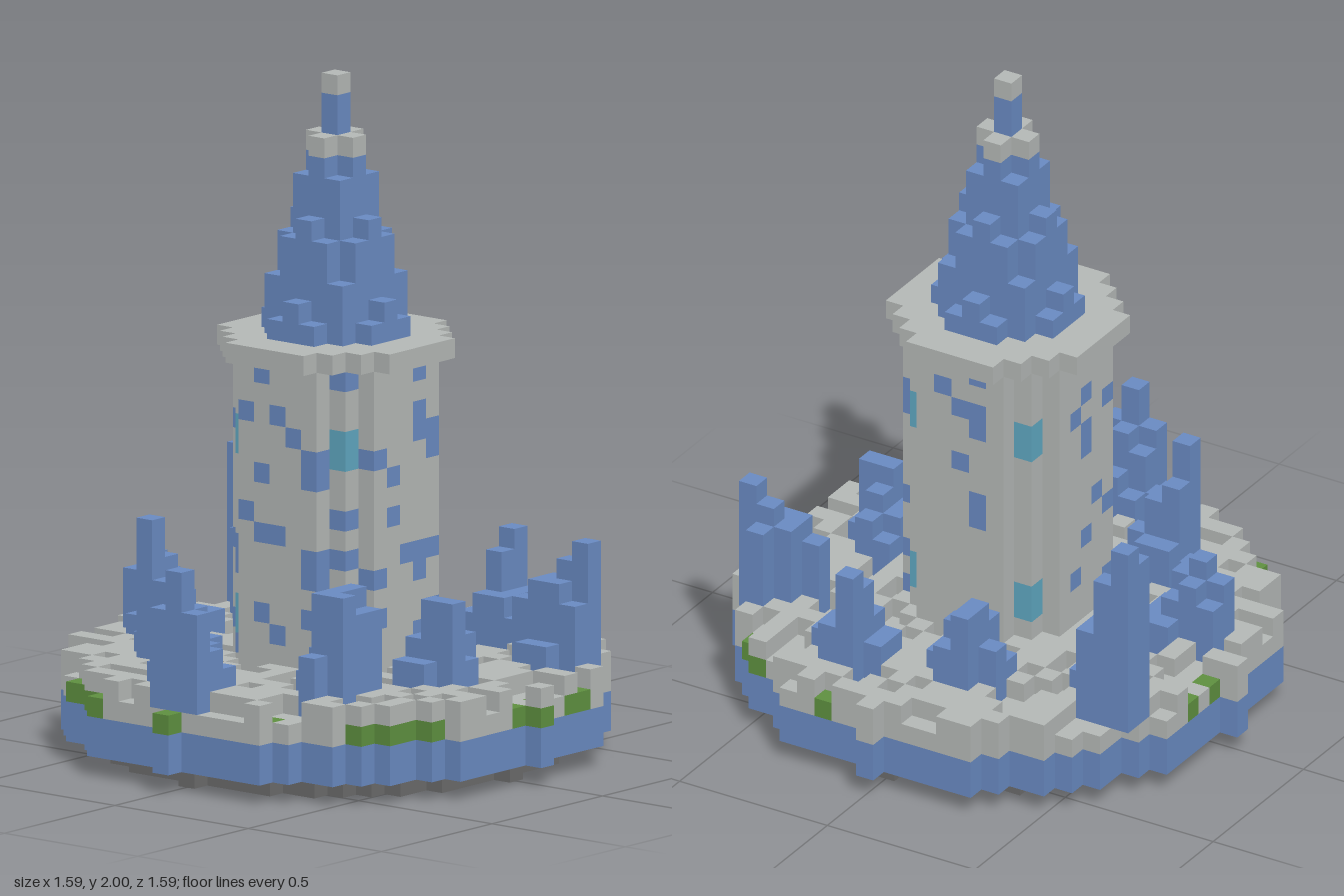
import * as THREE from 'three';
import { mergeGeometries } from 'three/addons/utils/BufferGeometryUtils.js';

const U = 2 / 34; // block edge

const mat = (name, color) => {
  const m = new THREE.MeshStandardMaterial({ color });
  m.name = name;
  return m;
};

// Repeatable noise in 0..1 for a block position
const noise = (x, y, z) => {
  const s = Math.sin(x * 127.1 + y * 269.5 + z * 311.7 + 17.3) * 43758.5453;
  return s - Math.floor(s);
};

// Crystal clusters: first column x, first row z, then rows of top layers in base 36
const CLUSTERS = [
  [-11, -7, 'ec9.', 'db96', '.976', '..6.'],
  [-4, -9, '.97.', '7986', '6876', '..66'],
  [2, -10, '.a7.', '6976', '6776'],
  [8, -7, '..9.', '.9ab', '8998', '.66.'],
  [7, 0, '67.', '786', '799', '66.'],
  [-11, 0, '..66', '7876', '8986', '.66.'],
  [-7, 5, '.776', '6a97', '.c96'],
  [5, 6, '7a9', '7a9', '6aa', '.7.'],
  [-2, 10, '.676', '6897', '.9b9'],
];

// Moss on the terrace: bare blocks show their tops, covered ones only their sides
const MOSS_BARE = ['3,-12', '-6,-10', '9,-9', '12,-4', '12,-1', '12,1', '-12,-3', '-12,-1', '-12,1',
  '11,5', '9,8', '5,11', '0,13', '-5,12', '-8,10'];
const MOSS_COVERED = ['13,0', '9,9', '10,8', '10,7', '11,6', '-7,10', '-6,11', '12,-3', '8,-10'];

// Crystal flecks on the tower: [offset along the face, layer]
const FRONT_FLECKS = [[-1, 19], [-2, 17], [0, 17], [1, 16], [2, 15], [2, 14], [-1, 14], [-2, 12], [-1, 11],
  [0, 11], [2, 10], [2, 9], [2, 7], [-1, 7], [0, 6]];
const RIGHT_FLECKS = [[-1, 19], [-1, 17], [-1, 16], [-2, 16], [2, 15], [-2, 15], [1, 14], [1, 12], [0, 10],
  [-1, 10], [-1, 9], [2, 9], [-2, 10], [2, 7], [-2, 7], [-1, 6], [-2, 5]];

export function createModel() {
  const stone = mat('stone', 0xb5b9b7);
  const crystal = mat('crystal blue', 0x6a8bc3);
  const bedrock = mat('dark rock', 0x6c6c6c);
  const moss = mat('moss green', 0x5f9140);
  const glass = mat('window teal', 0x60a8c2);

  const blocks = new Map(); // "x,y,z" -> { part, material }
  const put = (x, y, z, part, material) => blocks.set(`${x},${y},${z}`, { x, y, z, part, material });
  const disc = (r, y, fn) => {
    const n = Math.floor(r);
    for (let x = -n; x <= n; x++)
      for (let z = -n; z <= n; z++) if (x * x + z * z <= r * r) fn(x, y, z);
  };

  // Round island: rock foot, blue band, terrace
  disc(11, 0, (x, y, z) => put(x, y, z, 'islandFoot', bedrock));
  for (const l of [1, 2]) disc(13, l, (x, y, z) => put(x, y, z, 'islandBand', crystal));
  disc(13, 3, (x, y, z) => put(x, y, z, 'terrace', stone));
  for (const key of [...MOSS_BARE, ...MOSS_COVERED]) {
    const [x, z] = key.split(',').map(Number);
    put(x, 3, z, 'moss', moss);
  }

  // Broken paving on the terrace
  disc(13, 4, (x, y, z) => {
    const key = `${x},${z}`;
    const forced = MOSS_COVERED.includes(key) || key === '-13,0' || key === '0,-13';
    if (forced || (!MOSS_BARE.includes(key) && noise(x, y, z) < 0.6)) put(x, y, z, 'paving', stone);
  });

  // Crystal clusters
  for (const [x0, z0, ...rows] of CLUSTERS)
    rows.forEach((row, j) => [...row].forEach((c, i) => {
      if (c === '.') return;
      for (let y = 4; y < parseInt(c, 36); y++) put(x0 + i, y, z0 + j, 'crystalCluster', crystal);
    }));

  // Tower shaft with corner windows, flecked at random on the back and left sides
  for (let l = 4; l < 20; l++)
    disc(4.5, l, (x, y, z) => {
      const corner = Math.abs(x) === 3 && Math.abs(z) === 3;
      if (corner && [6, 7, 15, 16].includes(y)) put(x, y, z, 'window', glass);
      else if ((z === -4 || x === -4) && Math.abs(x * z) < 8 && noise(x, y, z) < 0.15) put(x, y, z, 'fleck', crystal);
      else put(x, y, z, 'towerShaft', stone);
    });
  for (const [a, y] of FRONT_FLECKS) put(a, y, 4, 'fleck', crystal);
  for (const [a, y] of RIGHT_FLECKS) put(4, y, a, 'fleck', crystal);
  for (const [x, y] of [[-4, 16], [-4, 10], [-4, 6]]) put(x, y, 2, 'fleck', crystal);
  for (const [x, z, y] of [[-3, 3, 10], [-3, 3, 9], [-3, 3, 5], [3, 3, 19], [3, 3, 12], [3, 3, 10], [3, -3, 19]])
    put(x, y, z, 'fleck', crystal);

  // Overhanging ledge and tapering spire with stone collar and tip
  disc(5.4, 20, (x, y, z) => put(x, y, z, 'ledge', stone));
  for (let l = 21; l < 34; l++) {
    const pale = l === 30 || l === 33;
    disc(Math.max(0.2, 3.4 - 0.26 * (l - 21)), l, (x, y, z) =>
      put(x, y, z, pale ? 'spireTrim' : 'spire', pale ? stone : crystal));
  }

  // One outward square for each of the six block sides
  const sides = [[1, 0, 0], [-1, 0, 0], [0, 1, 0], [0, -1, 0], [0, 0, 1], [0, 0, -1]].map((d) => {
    const g = new THREE.PlaneGeometry(U, U);
    if (d[0]) g.rotateY((d[0] * Math.PI) / 2);
    if (d[1]) g.rotateX((-d[1] * Math.PI) / 2);
    if (d[2] < 0) g.rotateY(Math.PI);
    g.translate((d[0] * U) / 2, (d[1] * U) / 2, (d[2] * U) / 2);
    return { d, g };
  });

  // Keep only the exposed sides and merge them part by part
  const parts = new Map();
  for (const { x, y, z, part, material } of blocks.values()) {
    if (!parts.has(part)) parts.set(part, { material, faces: [] });
    for (const { d, g } of sides)
      if (!blocks.has(`${x + d[0]},${y + d[1]},${z + d[2]}`))
        parts.get(part).faces.push(g.clone().translate(x * U, (y + 0.5) * U, z * U));
  }

  const group = new THREE.Group();
  group.name = 'crystalTower';
  for (const [name, { material, faces }] of parts) {
    if (!faces.length) continue;
    const mesh = new THREE.Mesh(mergeGeometries(faces), material);
    mesh.name = name;
    group.add(mesh);
  }
  return group;
}
